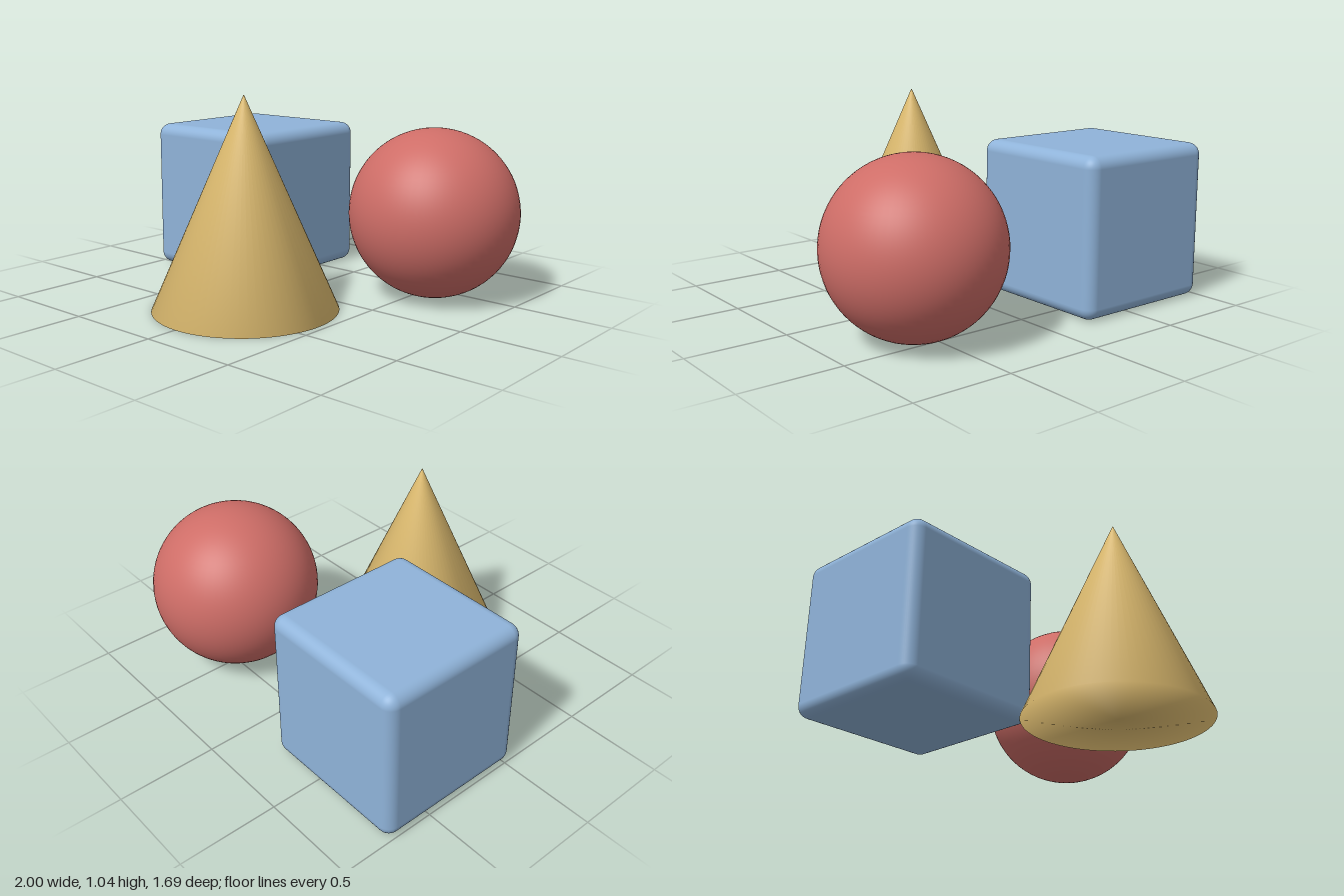
import * as THREE from 'three';
import { RoundedBoxGeometry } from 'three/addons/geometries/RoundedBoxGeometry.js';

const material = (name, color) => {
  const m = new THREE.MeshStandardMaterial({ color });
  m.name = name;
  return m;
};

export function createModel() {
  const group = new THREE.Group();
  group.name = 'primitiveShapes';

  const add = (name, geometry, mat, x, y, z) => {
    const mesh = new THREE.Mesh(geometry, mat);
    mesh.name = name;
    mesh.position.set(x, y, z);
    group.add(mesh);
  };

  // Cube with softened edges
  add('roundedCube', new RoundedBoxGeometry(0.8, 0.8, 0.8, 5, 0.06),
    material('softBlue', 0x8fb3d9), -0.6, 0.4, -0.355);

  // Ball
  add('sphere', new THREE.SphereGeometry(0.43, 64, 40),
    material('softRed', 0xce6d67), 0.57, 0.43, -0.415);

  // Closed cone, smooth over its rim and very slightly blunted at the tip
  const profile = [[0, 0], [0.46, 0], [0.002, 1.045], [0, 1.045]]
    .map(([r, y]) => new THREE.Vector2(r, y));
  const cone = new THREE.LatheGeometry(profile, 64);
  cone.normalizeNormals();
  add('cone', cone, material('sandYellow', 0xdebc70), 0.01, 0, 0.38);

  return group;
}
